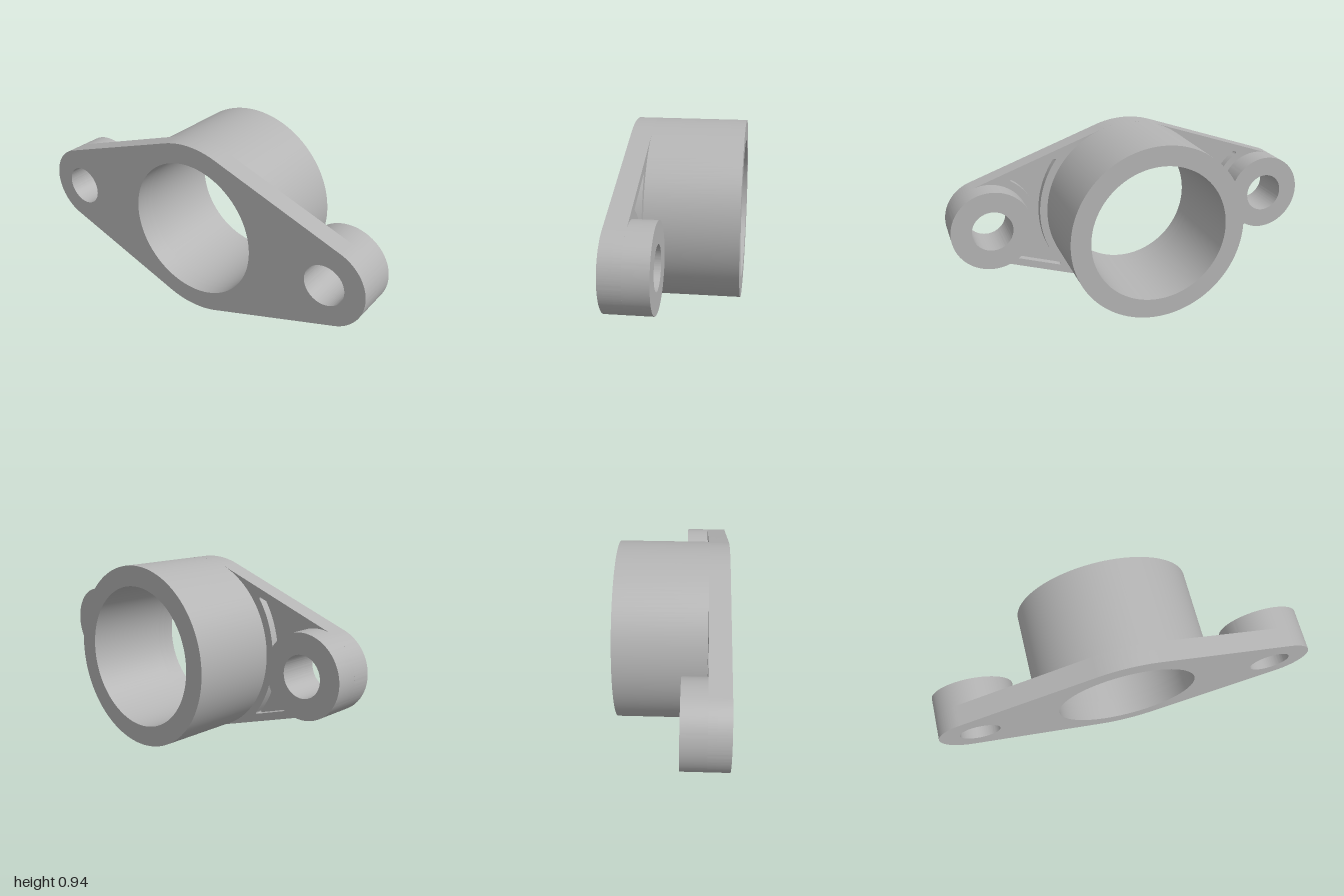
import * as THREE from 'three';
import { toCreasedNormals } from 'three/addons/utils/BufferGeometryUtils.js';

const R = 0.472, BORE = 0.367;              // central tube
const BX = 0.788, BR = 0.212, BH = 0.106;   // ear bosses and bolt holes
const FRONT = 0.285, PLATE_BACK = 0.18, FLOOR = 0.22, BOSS_BACK = 0.06, TUBE_BACK = -0.285;
const MARGIN = 0.04;                        // rim left around the pockets
const TANGENT = Math.acos((R - BR) / BX);   // direction of the straight edges' normal

const metal = new THREE.MeshStandardMaterial({ color: 0xb4b4b4 });
metal.name = 'grey metal';

function circle(Type, x, r) {
  return new Type().absarc(x, 0, r, 0, Math.PI * 2, false);
}

// Four tangent arcs joined by straight edges
function flangeShape() {
  const s = new THREE.Shape();
  s.absarc(BX, 0, BR, -TANGENT, TANGENT, false);
  s.absarc(0, 0, R, TANGENT, Math.PI - TANGENT, false);
  s.absarc(-BX, 0, BR, Math.PI - TANGENT, Math.PI + TANGENT, false);
  s.absarc(0, 0, R, Math.PI + TANGENT, Math.PI * 2 - TANGENT, false);
  s.closePath();
  s.holes.push(circle(THREE.Path, 0, BORE), circle(THREE.Path, BX, BH), circle(THREE.Path, -BX, BH));
  return s;
}

// Hourglass pocket between tube and boss, with rounded corners
function pocketPath(side) {
  const rt = R + MARGIN, rb = BR + MARGIN, f = 0.025;
  const a = TANGENT - Math.acos((R - MARGIN) / rt);
  const b = TANGENT + Math.acos((BR - MARGIN) / rb);
  const at = (cx, r, t) => new THREE.Vector2(cx + r * Math.cos(t), r * Math.sin(t));
  const p = at(0, rt, a), q = at(BX, rb, b);
  const along = q.clone().sub(p).normalize().multiplyScalar(f);
  const pts = [];
  const arc = (cx, r, t0, t1) => {
    for (let i = 0; i <= 32; i++) pts.push(at(cx, r, t0 + (t1 - t0) * i / 32));
  };
  const corner = (from, tip, to) =>
    pts.push(...new THREE.QuadraticBezierCurve(from, tip, to).getPoints(6).slice(1));
  const flip = v => new THREE.Vector2(v.x, -v.y);
  const pa = a - f / rt, qb = b + f / rb;
  const pLine = p.clone().add(along), qLine = q.clone().sub(along);

  arc(0, rt, -pa, pa);
  corner(at(0, rt, pa), p, pLine);
  pts.push(qLine);
  corner(qLine, q, at(BX, rb, qb));
  arc(BX, rb, qb, Math.PI * 2 - qb);
  corner(flip(at(BX, rb, qb)), flip(q), flip(qLine));
  pts.push(flip(pLine));
  corner(flip(pLine), flip(p), flip(at(0, rt, pa)));

  // drop coincident points where the pieces meet
  const clean = pts.filter((v, i) => v.distanceTo(pts[(i + 1) % pts.length]) > 1e-5);
  return new THREE.Path(clean.map(v => new THREE.Vector2(v.x * side, v.y)));
}

function extrude(name, shape, z0, z1) {
  let g = new THREE.ExtrudeGeometry(shape, { depth: z1 - z0, bevelEnabled: false, curveSegments: 64 });
  g.translate(0, 0, z0);
  g = toCreasedNormals(g, Math.PI / 6);
  const mesh = new THREE.Mesh(g, metal);
  mesh.name = name;
  return mesh;
}

function ring(x, outer, inner) {
  const s = circle(THREE.Shape, x, outer);
  s.holes.push(circle(THREE.Path, x, inner));
  return s;
}

export function createModel() {
  const model = new THREE.Group();
  model.name = 'flangedBushing';

  // Flange: solid front layer and a pocketed rear layer
  model.add(extrude('flangeFace', flangeShape(), FLOOR, FRONT));
  const rear = flangeShape();
  rear.holes.push(pocketPath(1), pocketPath(-1));
  model.add(extrude('flangeRibs', rear, PLATE_BACK, FLOOR));

  // Central tube and the two bolt bosses
  model.add(extrude('centralTube', ring(0, R, BORE), TUBE_BACK, PLATE_BACK));
  model.add(extrude('leftBoss', ring(BX, BR, BH), BOSS_BACK, PLATE_BACK));
  model.add(extrude('rightBoss', ring(-BX, BR, BH), BOSS_BACK, PLATE_BACK));

  model.children.forEach(m => { m.position.y = R; });
  return model;
}
